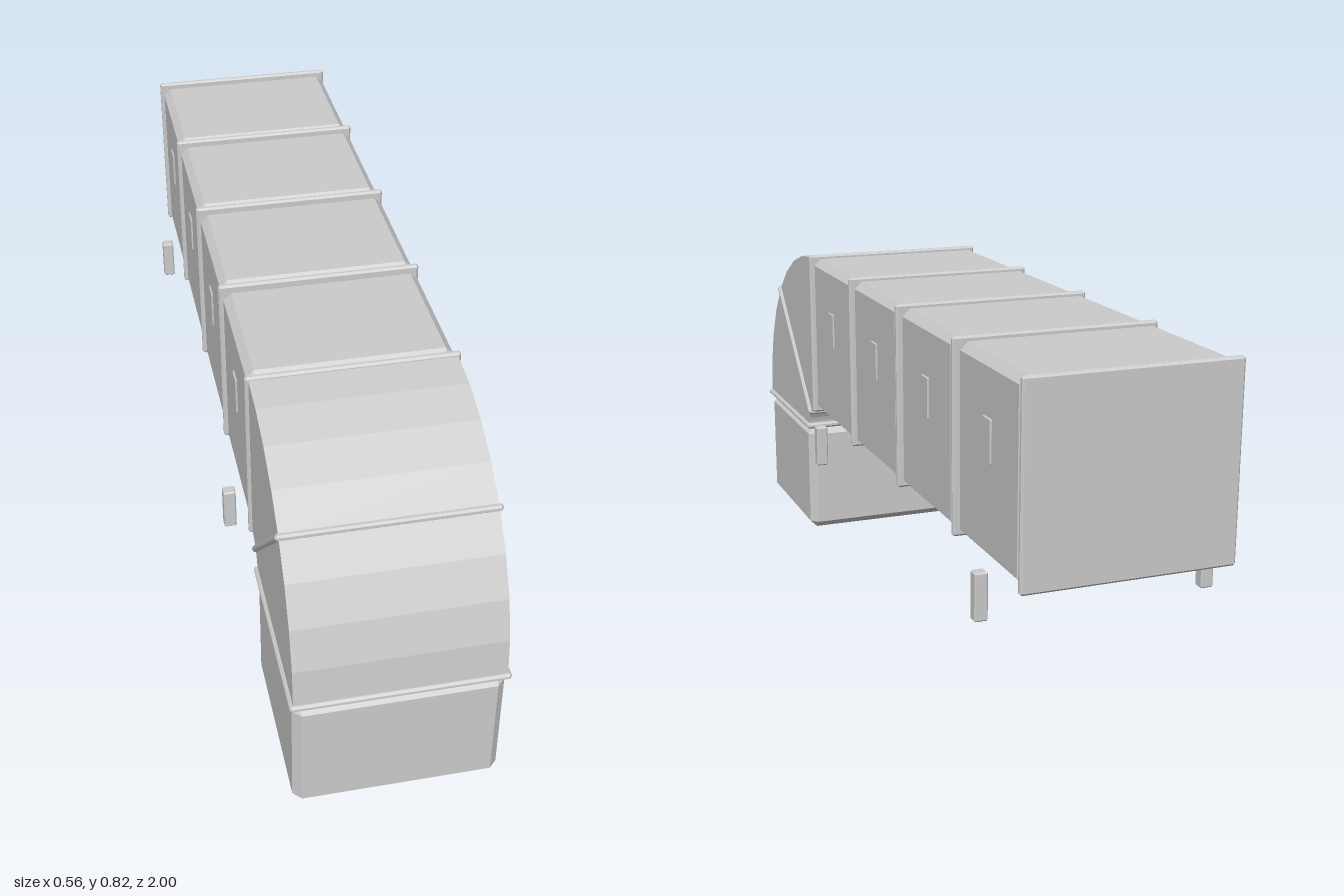
import * as THREE from 'three';
import { ConvexGeometry } from 'three/addons/geometries/ConvexGeometry.js';

const CY = 0.315, CZ = 0.493;        // bend centre of the elbow
const R_IN = 0.067, R_OUT = 0.5;     // inner and outer bend radius
const HALF_W = 0.235;                // half width of the duct
const STEP = 0.371, SECTIONS = 4;    // spacing of the flanges

// Box with every edge chamfered by c
function chamferBox(w, h, d, c) {
  const pts = [];
  for (const sx of [-1, 1]) for (const sy of [-1, 1]) for (const sz of [-1, 1]) {
    const x = w / 2, y = h / 2, z = d / 2;
    pts.push(
      new THREE.Vector3(sx * x, sy * (y - c), sz * (z - c)),
      new THREE.Vector3(sx * (x - c), sy * y, sz * (z - c)),
      new THREE.Vector3(sx * (x - c), sy * (y - c), sz * z));
  }
  return new ConvexGeometry(pts);
}

export function createModel() {
  const model = new THREE.Group();
  model.name = 'ductWithElbow';
  const mat = new THREE.MeshStandardMaterial({ color: 0xcccccc, flatShading: true });

  function add(name, geometry, x, y, z) {
    const mesh = new THREE.Mesh(geometry, mat);
    mesh.name = name;
    mesh.position.set(x, y, z);
    model.add(mesh);
    return mesh;
  }

  const rMid = (R_IN + R_OUT) / 2;
  const bore = R_OUT - R_IN;

  // Straight sections with a small plate on each side
  const sectionGeo = chamferBox(HALF_W * 2, bore, STEP - 0.022, 0.018);
  const plateGeo = chamferBox(0.01, 0.095, 0.042, 0.002);
  for (let i = 0; i < SECTIONS; i++) {
    const z = CZ - STEP * (i + 0.5);
    add('ductSection', sectionGeo, 0, CY + rMid, z);
    for (const s of [-1, 1]) add('sidePlate', plateGeo, s * (HALF_W - 0.001), 0.645, z);
  }

  // Flanges between the straight sections
  const flangeGeo = chamferBox(0.486, 0.446, 0.016, 0.005);
  for (let i = 0; i <= SECTIONS; i++) add('flange', flangeGeo, 0, CY + rMid, CZ - STEP * i);

  // Flanges in the middle and at the lower end of the elbow
  for (const a of [Math.PI / 4, Math.PI / 2]) {
    const f = add('elbowFlange', flangeGeo, 0, CY + rMid * Math.cos(a), CZ + rMid * Math.sin(a));
    f.rotation.x = a;
  }

  // Faceted elbow, drawn in side profile and extruded across the width
  const SEG = 8;
  const profile = [];
  const arcPoint = (r, i) => {
    const a = (i / SEG) * Math.PI / 2;
    return new THREE.Vector2(r * Math.cos(a), r * Math.sin(a));
  };
  for (let i = 0; i <= SEG; i++) profile.push(arcPoint(R_OUT, i));
  for (let i = SEG; i >= 0; i--) profile.push(arcPoint(R_IN, i));
  const elbowGeo = new THREE.ExtrudeGeometry(new THREE.Shape(profile),
    { depth: HALF_W * 2, bevelEnabled: false });
  elbowGeo.translate(0, 0, -HALF_W);
  elbowGeo.rotateY(-Math.PI / 2);
  add('elbow', elbowGeo, 0, CY, CZ);

  // Lower outlet
  add('outlet', chamferBox(HALF_W * 2, 0.306, bore, 0.019), 0, 0.153, CZ + rMid);

  // Short posts beside the duct
  const postGeo = chamferBox(0.03, 0.108, 0.028, 0.003);
  for (const s of [-1, 1]) for (const z of [0.335, -0.837]) {
    add('supportPost', postGeo, s * 0.265, 0.322, z);
  }

  return model;
}
